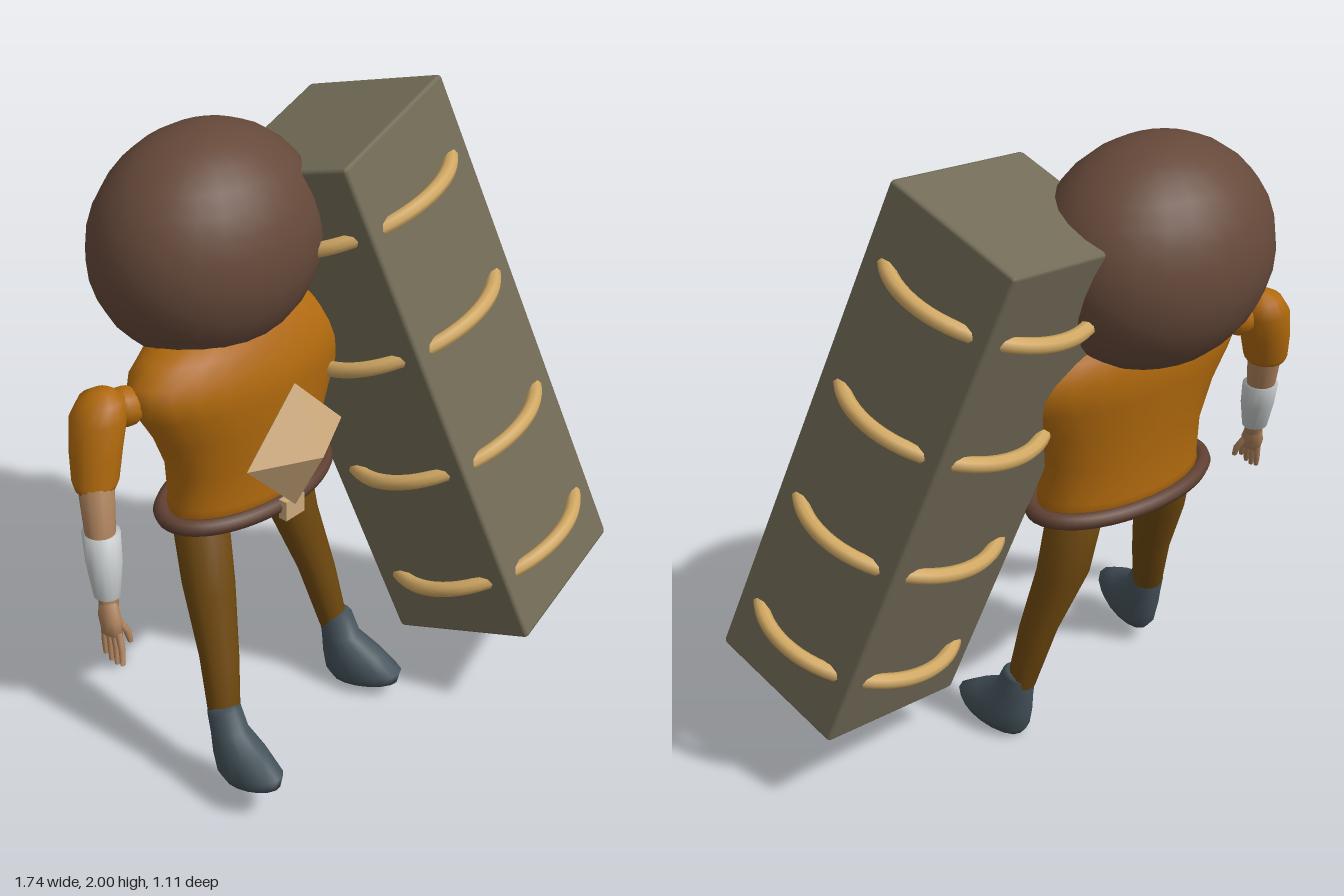
import * as THREE from 'three';
import { RoundedBoxGeometry } from 'three/addons/geometries/RoundedBoxGeometry.js';

const paint = (name, color) => {
  const m = new THREE.MeshStandardMaterial({ color });
  m.name = name;
  return m;
};

// Smooth skin over horizontal elliptical rings [x, y, z, rx, rz], listed bottom to top
function loft(rings, sides = 16) {
  const pos = [], idx = [];
  for (const [x, y, z, rx, rz = rx] of rings) {
    for (let i = 0; i < sides; i++) {
      const a = (i / sides) * Math.PI * 2;
      pos.push(x + Math.sin(a) * rx, y, z + Math.cos(a) * rz);
    }
  }
  for (let r = 0; r < rings.length - 1; r++) {
    for (let i = 0; i < sides; i++) {
      const j = (i + 1) % sides, a = r * sides + i, b = r * sides + j;
      idx.push(a, b, b + sides, a, b + sides, a + sides);
    }
  }
  // End caps
  const last = rings.length - 1, base = pos.length / 3;
  pos.push(...rings[0].slice(0, 3), ...rings[last].slice(0, 3));
  for (let i = 0; i < sides; i++) {
    const j = (i + 1) % sides;
    idx.push(base, j, i, base + 1, last * sides + i, last * sides + j);
  }
  const g = new THREE.BufferGeometry();
  g.setAttribute('position', new THREE.Float32BufferAttribute(pos, 3));
  g.setIndex(idx);
  g.computeVertexNormals();
  return g;
}

// Closed elliptical band lying flat
function band(a, b, r) {
  const pts = [];
  for (let i = 0; i < 32; i++) {
    const t = (i / 32) * Math.PI * 2;
    pts.push(new THREE.Vector3(Math.cos(t) * a, 0, Math.sin(t) * b));
  }
  return new THREE.TubeGeometry(new THREE.CatmullRomCurve3(pts, true), 64, r, 8, true);
}

export function createModel() {
  const root = new THREE.Group();
  root.name = 'pillarCarrier';
  const mat = {
    hair: paint('brown head', 0x66493a),
    tunic: paint('orange tunic', 0xb0690d),
    pants: paint('dark ochre trousers', 0x6e480f),
    boot: paint('slate boot', 0x44525a),
    belt: paint('brown belt', 0x5f4032),
    gem: paint('sand gem', 0xcdaa7c),
    skin: paint('tan skin', 0xaa7f5a),
    wrap: paint('pale wrist wrap', 0xc4c8c8),
    stone: paint('grey stone', 0x736c57),
    rope: paint('straw rope', 0xd2a964),
  };
  const add = (name, geometry, material, parent = root) => {
    const m = new THREE.Mesh(geometry, material);
    m.name = name;
    parent.add(m);
    return m;
  };

  // Head
  const head = add('head', new THREE.SphereGeometry(1, 24, 16), mat.hair);
  head.scale.set(0.38, 0.345, 0.31);
  head.position.set(-0.225, 1.655, -0.25);

  // Torso, belt and chest gem
  const cx = -0.19, cz = -0.15;
  add('torso', loft([
    [cx, 0.825, cz, 0.3, 0.17],
    [cx, 0.9, cz, 0.288, 0.16],
    [cx, 1.02, cz, 0.295, 0.165],
    [cx, 1.14, cz, 0.345, 0.175],
    [cx, 1.24, cz - 0.005, 0.405, 0.185],
    [cx, 1.3, cz - 0.01, 0.432, 0.185],
    [cx, 1.35, cz - 0.015, 0.42, 0.175],
    [cx, 1.4, cz - 0.02, 0.36, 0.16],
    [cx, 1.46, cz - 0.02, 0.25, 0.13],
  ], 24), mat.tunic);
  add('belt', band(0.315, 0.165, 0.026), mat.belt).position.set(cx, 0.855, cz);

  const gemGeometry = new THREE.OctahedronGeometry(1);
  const gem = add('chestGem', gemGeometry, mat.gem);
  gem.scale.set(0.208, 0.208, 0.11);
  gem.position.set(cx, 1.065, 0.055);
  add('buckle', new THREE.BoxGeometry(0.08, 0.065, 0.03), mat.gem).position.set(cx, 0.848, 0.04);

  // Legs and boots
  const boot = loft([
    [0, -0.225, 0.07, 0.058, 0.12],
    [0, -0.19, 0.07, 0.075, 0.137],
    [0, -0.13, 0.04, 0.07, 0.105],
    [0, -0.07, 0.006, 0.056, 0.064],
    [0, 0, 0, 0.052, 0.053],
    [0, 0.015, 0, 0.04, 0.04],
  ]);
  const leg = (side, rings, [x, y, z], tilt, yaw) => {
    add(side + 'Leg', loft(rings), mat.pants);
    const b = add(side + 'Boot', boot, mat.boot);
    b.position.set(x, y, z);
    b.rotation.set(tilt, yaw, 0, 'YXZ');
  };
  leg('right', [
    [-0.51, 0.25, 0.05, 0.048],
    [-0.475, 0.43, 0, 0.06],
    [-0.43, 0.64, -0.08, 0.08],
    [-0.4, 0.86, -0.14, 0.086],
  ], [-0.512, 0.28, 0.05], -0.3, -0.16);
  leg('left', [
    [0.125, 0.2, -0.065, 0.046],
    [0.09, 0.42, -0.11, 0.06],
    [0.045, 0.64, -0.17, 0.08],
    [0.01, 0.86, -0.19, 0.086],
  ], [0.128, 0.235, -0.06], -0.2, 0.16);

  // Lowered right arm
  add('rightSleeve', loft([
    [-0.765, 1.09, -0.19, 0.058],
    [-0.757, 1.11, -0.195, 0.068],
    [-0.735, 1.2, -0.21, 0.077],
    [-0.71, 1.29, -0.22, 0.083],
    [-0.695, 1.34, -0.22, 0.066],
    [-0.69, 1.362, -0.22, 0.03],
  ]), mat.tunic);
  add('rightShoulderJoint', new THREE.SphereGeometry(0.06, 12, 8), mat.tunic)
    .position.set(-0.625, 1.29, -0.2);
  add('rightForearm', loft([
    [-0.828, 0.76, -0.09, 0.028],
    [-0.8, 0.96, -0.14, 0.044],
    [-0.762, 1.13, -0.19, 0.055],
  ]), mat.skin);
  add('rightWristWrap', loft([
    [-0.823, 0.795, -0.1, 0.04],
    [-0.81, 0.89, -0.12, 0.053],
    [-0.793, 0.975, -0.145, 0.056],
  ]), mat.wrap);
  add('rightPalm', loft([
    [-0.845, 0.69, -0.065, 0.024, 0.036],
    [-0.838, 0.73, -0.078, 0.028, 0.04],
    [-0.828, 0.785, -0.095, 0.025, 0.027],
  ], 12), mat.skin);
  for (let i = 0; i < 4; i++) {
    const s = (i - 1.5) * 0.019;
    add('rightFinger', loft([
      [-0.865 - s * 0.2, 0.605 + Math.abs(s) * 0.5, -0.04 + s * 1.4, 0.007],
      [-0.853, 0.65, -0.053 + s * 1.2, 0.01],
      [-0.845, 0.7, -0.067 + s, 0.011],
    ], 8), mat.skin);
  }
  add('rightThumb', loft([
    [-0.808, 0.655, -0.03, 0.008],
    [-0.81, 0.69, -0.04, 0.012],
    [-0.833, 0.745, -0.07, 0.014],
  ], 8), mat.skin);

  // Raised left arm reaching into the pillar
  add('leftSleeve', loft([
    [0.22, 1.27, -0.18, 0.06],
    [0.28, 1.36, -0.2, 0.075],
    [0.33, 1.48, -0.24, 0.075],
    [0.35, 1.58, -0.26, 0.068],
    [0.355, 1.65, -0.265, 0.045],
  ]), mat.tunic);
  add('leftForearm', loft([
    [0.35, 1.58, -0.23, 0.045],
    [0.3, 1.7, -0.14, 0.04],
  ]), mat.skin);

  // Leaning stone pillar with four rope bindings
  const pillar = new THREE.Group();
  pillar.name = 'pillar';
  pillar.position.set(0.395, 1.085, 0.05);
  const up = new THREE.Vector3(-0.36, 1.59, -0.45).normalize();
  const across = new THREE.Vector3(0.53, 0.1, -0.09);
  across.addScaledVector(up, -across.dot(up)).normalize();
  const out = new THREE.Vector3().crossVectors(across, up);
  pillar.quaternion.setFromRotationMatrix(new THREE.Matrix4().makeBasis(across, up, out));
  add('stoneBlock', new RoundedBoxGeometry(0.55, 1.69, 0.488, 1, 0.012), mat.stone, pillar);
  const binding = band(0.322, 0.292, 0.024);
  for (let i = 0; i < 4; i++) {
    add('ropeBinding', binding, mat.rope, pillar).position.y = 0.61 - i * 0.414;
  }
  root.add(pillar);
  return root;
}
